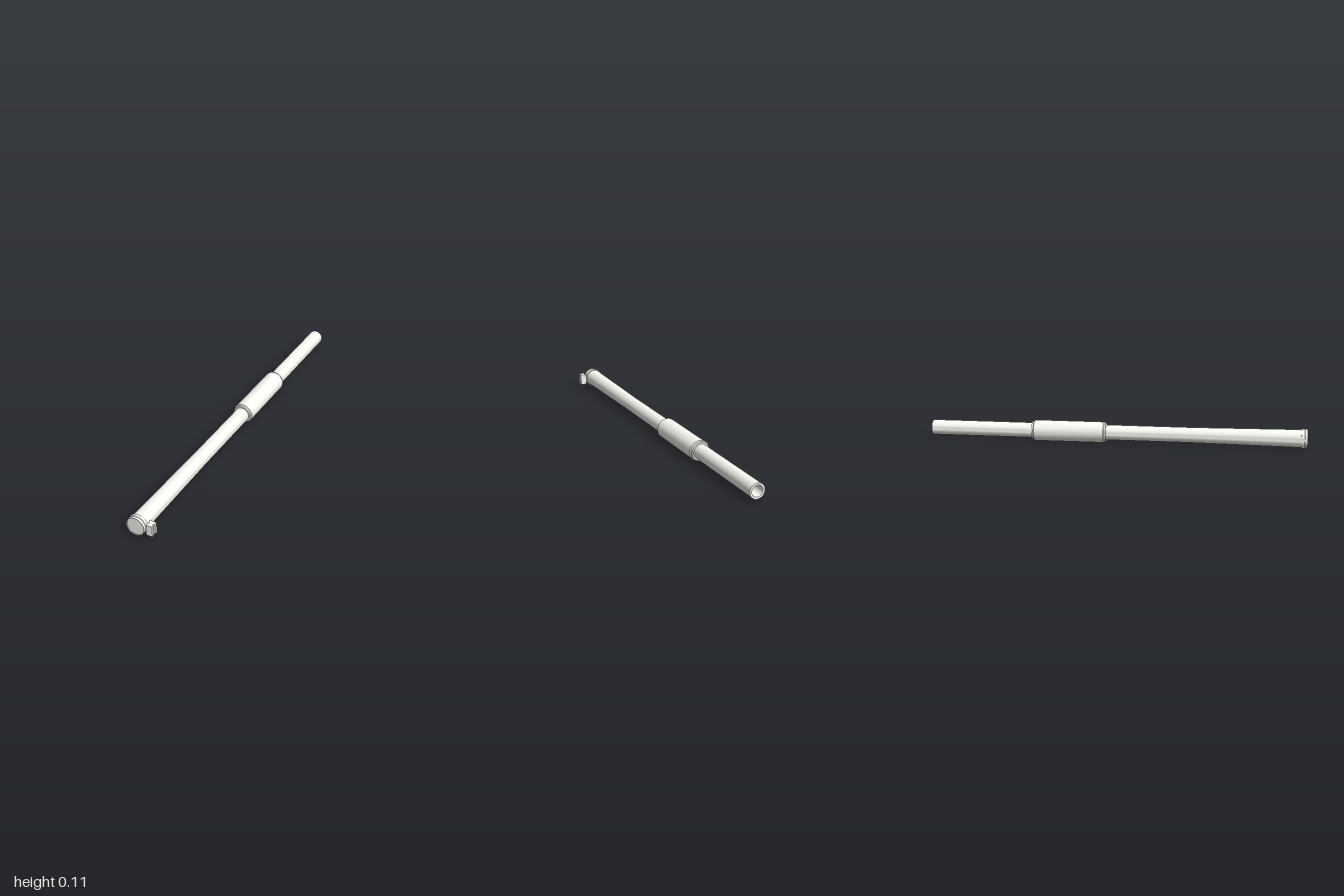
import * as THREE from 'three';
import { toCreasedNormals } from 'three/addons/utils/BufferGeometryUtils.js';

const AXIS_X = -0.017, AXIS_Y = 0.056;

export function createModel() {
  const group = new THREE.Group();
  const material = new THREE.MeshStandardMaterial({ color: 0xfafaf3 });

  const add = (name, geometry) => {
    const mesh = new THREE.Mesh(toCreasedNormals(geometry, 0.5), material);
    mesh.name = name;
    group.add(mesh);
    return mesh;
  };

  // Turned part along the tube axis; profile pairs are [radius, z], back to front
  const turned = (name, profile) => {
    const points = profile.map(([r, z]) => new THREE.Vector2(r, z));
    const mesh = add(name, new THREE.LatheGeometry(points, 32).rotateX(Math.PI / 2));
    mesh.position.set(AXIS_X, AXIS_Y, 0);
  };

  // Long tube with an open bore at the back and a slight swell to the front
  turned('tube', [
    [0, -0.5], [0.027, -0.5], [0.027, -0.995], [0.029, -1], [0.04, -1],
    [0.04, 0.4], [0.0465, 0.97], [0.0465, 0.98], [0, 0.98],
  ]);

  // Thick sleeve with small stepped ends
  turned('sleeve', [
    [0.039, -0.449], [0.048, -0.449], [0.05, -0.439], [0.055, -0.435],
    [0.055, -0.062], [0.05, -0.058], [0.048, -0.05], [0.039, -0.05],
  ]);

  // End collar: flange, thin rim and a shallow recessed face
  turned('endCollar', [
    [0.044, 0.968], [0.051, 0.968], [0.051, 0.984], [0.049, 0.986],
    [0.049, 1], [0.0465, 1], [0.0465, 0.995], [0, 0.995],
  ]);

  // Side clamp block: two plates with a narrow waist, extruded upward
  const outline = [
    [0.039, 0.955], [0.072, 0.955], [0.072, 0.967], [0.067, 0.971],
    [0.067, 0.979], [0.072, 0.983], [0.072, 0.995], [0.039, 0.995],
    [0.039, 0.983], [0.044, 0.979], [0.044, 0.971], [0.039, 0.967],
  ];
  const shape = new THREE.Shape(outline.map(([x, z]) => new THREE.Vector2(x, -z)));
  const block = new THREE.ExtrudeGeometry(shape, { depth: 0.059, bevelEnabled: false });
  add('clampBlock', block.rotateX(-Math.PI / 2).translate(0, 0.026, 0));

  // Short tab joining the block to the collar
  const tab = new THREE.BoxGeometry(0.016, 0.02, 0.008);
  add('clampTab', tab.translate(0.038, AXIS_Y, 0.975));

  return group;
}
